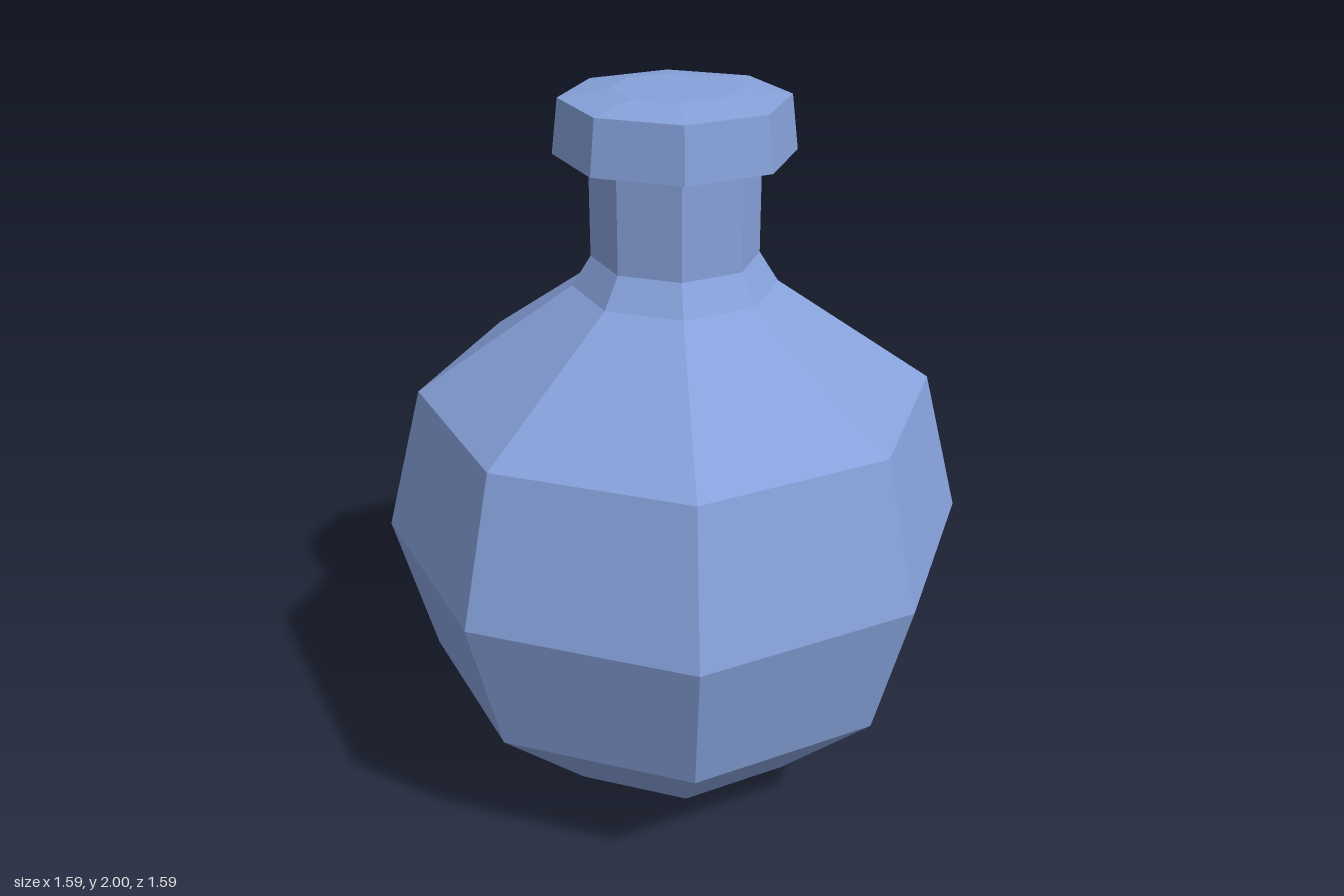
import * as THREE from 'three';

const SIDES = 8;

// Turns a [radius, height] profile, listed bottom to top, into a faceted solid
function turned(name, profile, material) {
  const points = profile.map(([r, y]) => new THREE.Vector2(r, y));
  const mesh = new THREE.Mesh(new THREE.LatheGeometry(points, SIDES), material);
  mesh.name = name;
  return mesh;
}

export function createModel() {
  const group = new THREE.Group();
  group.name = 'flask';

  const glass = new THREE.MeshStandardMaterial({ color: 0x86a1da, flatShading: true });

  // Round body, pointed at the bottom, with shoulders up to the neck
  group.add(turned('body', [
    [0, 0], [0.4, 0.11], [0.69, 0.4], [0.795, 0.8], [0.69, 1.2], [0.27, 1.49],
  ], glass));

  // Flared foot of the neck and its straight shaft
  group.add(turned('neck', [[0.27, 1.49], [0.22, 1.57], [0.22, 1.82]], glass));

  // Tapered rim with a shallow domed top
  group.add(turned('rim', [
    [0.22, 1.82], [0.31, 1.84], [0.293, 1.98], [0.163, 2], [0, 2],
  ], glass));

  return group;
}
